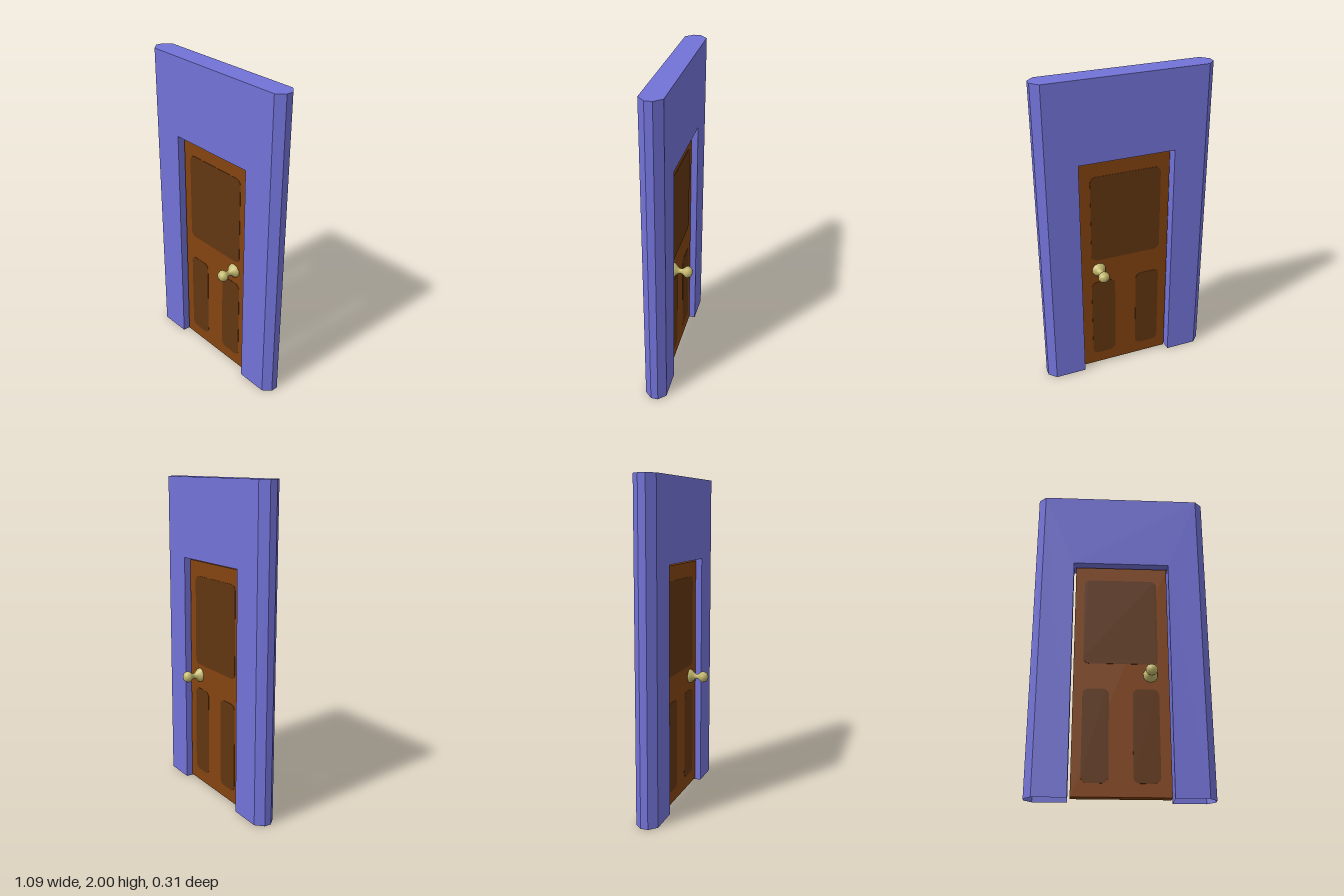
import * as THREE from 'three';
import { mergeGeometries } from 'three/addons/utils/BufferGeometryUtils.js';

const wallBlue = new THREE.MeshStandardMaterial({ color: 0x7272d8, side: THREE.DoubleSide });
const doorBrown = new THREE.MeshStandardMaterial({ color: 0x844310 });
const panelBrown = new THREE.MeshStandardMaterial({ color: 0x613611 });
const brass = new THREE.MeshStandardMaterial({ color: 0xc2b76c });
wallBlue.name = 'wall blue';
doorBrown.name = 'door brown';
panelBrown.name = 'panel dark brown';
brass.name = 'brass';

const HEIGHT = 2, FRONT = 0.065, BACK = -0.07;
const OPEN_LEFT = -0.3, OPEN_RIGHT = 0.303, OPEN_TOP = 1.5;
const DOOR_FRONT = 0.028, DOOR_BACK = -0.033;

function polygon(points) {
  return new THREE.Shape(points.map(([x, y]) => new THREE.Vector2(x, y)));
}

// flat four-cornered face, corners counter-clockwise seen from outside
function quad(a, b, c, d) {
  const g = new THREE.BufferGeometry();
  g.setAttribute('position', new THREE.Float32BufferAttribute([...a, ...b, ...c, ...a, ...c, ...d], 3));
  g.computeVertexNormals();
  return g;
}

// upright face from plan point p to plan point q
function upright([x0, z0], [x1, z1], top) {
  return quad([x0, 0, z0], [x1, 0, z1], [x1, top, z1], [x0, top, z0]);
}

function flat(shape) {
  const g = new THREE.ShapeGeometry(shape).toNonIndexed();
  g.deleteAttribute('uv');
  return g;
}

function createWall() {
  // plan outline with chamfered ends
  const plan = [
    [-0.5, FRONT], [0.5, FRONT], [0.545, 0.02], [0.545, -0.025],
    [0.5, BACK], [-0.5, BACK], [-0.545, -0.025], [-0.545, 0.02],
  ];
  const face = (l, r) => flat(polygon([
    [-0.5, 0], [l, 0], [l, OPEN_TOP], [r, OPEN_TOP], [r, 0], [0.5, 0], [0.5, HEIGHT], [-0.5, HEIGHT],
  ]));
  const parts = [
    face(OPEN_LEFT, OPEN_RIGHT).translate(0, 0, FRONT),
    face(-OPEN_RIGHT, -OPEN_LEFT).rotateY(Math.PI).translate(0, 0, BACK),
    flat(polygon(plan.map(([x, z]) => [x, -z]))).rotateX(-Math.PI / 2).translate(0, HEIGHT, 0),
  ];
  // end facets
  for (const i of [1, 2, 3, 5, 6, 7]) parts.push(upright(plan[i], plan[(i + 1) % 8], HEIGHT));
  // jambs and lintel; the foot of the wall stays open
  parts.push(upright([OPEN_LEFT, FRONT], [OPEN_LEFT, BACK], OPEN_TOP));
  parts.push(upright([OPEN_RIGHT, BACK], [OPEN_RIGHT, FRONT], OPEN_TOP));
  parts.push(quad(
    [OPEN_LEFT, OPEN_TOP, BACK], [OPEN_RIGHT, OPEN_TOP, BACK],
    [OPEN_RIGHT, OPEN_TOP, FRONT], [OPEN_LEFT, OPEN_TOP, FRONT],
  ));
  return new THREE.Mesh(mergeGeometries(parts), wallBlue);
}

function roundedRect(x0, y0, x1, y1, r) {
  const s = new THREE.Shape();
  s.absarc(x1 - r, y1 - r, r, 0, Math.PI / 2);
  s.absarc(x0 + r, y1 - r, r, Math.PI / 2, Math.PI);
  s.absarc(x0 + r, y0 + r, r, Math.PI, Math.PI * 1.5);
  s.absarc(x1 - r, y0 + r, r, Math.PI * 1.5, Math.PI * 2);
  return s;
}

export function createModel() {
  const group = new THREE.Group();
  const add = (mesh, name) => {
    mesh.name = name;
    group.add(mesh);
    return mesh;
  };

  add(createWall(), 'wall');

  // door leaf, with a narrow gap all round
  const leaf = new THREE.BoxGeometry(0.578, 1.475, DOOR_FRONT - DOOR_BACK);
  leaf.translate(0.004, 0.7495, (DOOR_FRONT + DOOR_BACK) / 2);
  add(new THREE.Mesh(leaf, doorBrown), 'doorLeaf');

  // thin dark panels on both faces
  const panels = {
    upperPanel: [-0.228, 0.82, 0.226, 1.395],
    lowerRightPanel: [-0.228, 0.09, -0.07, 0.658],
    lowerLeftPanel: [0.072, 0.09, 0.23, 0.658],
  };
  for (const [name, box] of Object.entries(panels)) {
    const plate = new THREE.ExtrudeGeometry(roundedRect(...box, 0.038), {
      depth: 0.004, bevelEnabled: false, curveSegments: 5,
    });
    add(new THREE.Mesh(plate, panelBrown), name + 'Front').position.z = DOOR_FRONT - 0.002;
    add(new THREE.Mesh(plate, panelBrown), name + 'Back').position.z = DOOR_BACK - 0.002;
  }

  // turned knobs: rosette, neck and rounded grip
  const profile = [
    [0.046, 0], [0.043, 0.012], [0.03, 0.024], [0.019, 0.036], [0.015, 0.05], [0.02, 0.063],
    [0.034, 0.08], [0.037, 0.093], [0.028, 0.113], [0.014, 0.121], [0, 0.123],
  ].map(([r, y]) => new THREE.Vector2(r, y));
  const knob = new THREE.LatheGeometry(profile, 10).rotateX(Math.PI / 2);
  add(new THREE.Mesh(knob, brass), 'frontKnob').position.set(0.18, 0.75, DOOR_FRONT);
  const backKnob = add(new THREE.Mesh(knob, brass), 'backKnob');
  backKnob.position.set(0.18, 0.75, DOOR_BACK);
  backKnob.rotation.y = Math.PI;

  return group;
}
